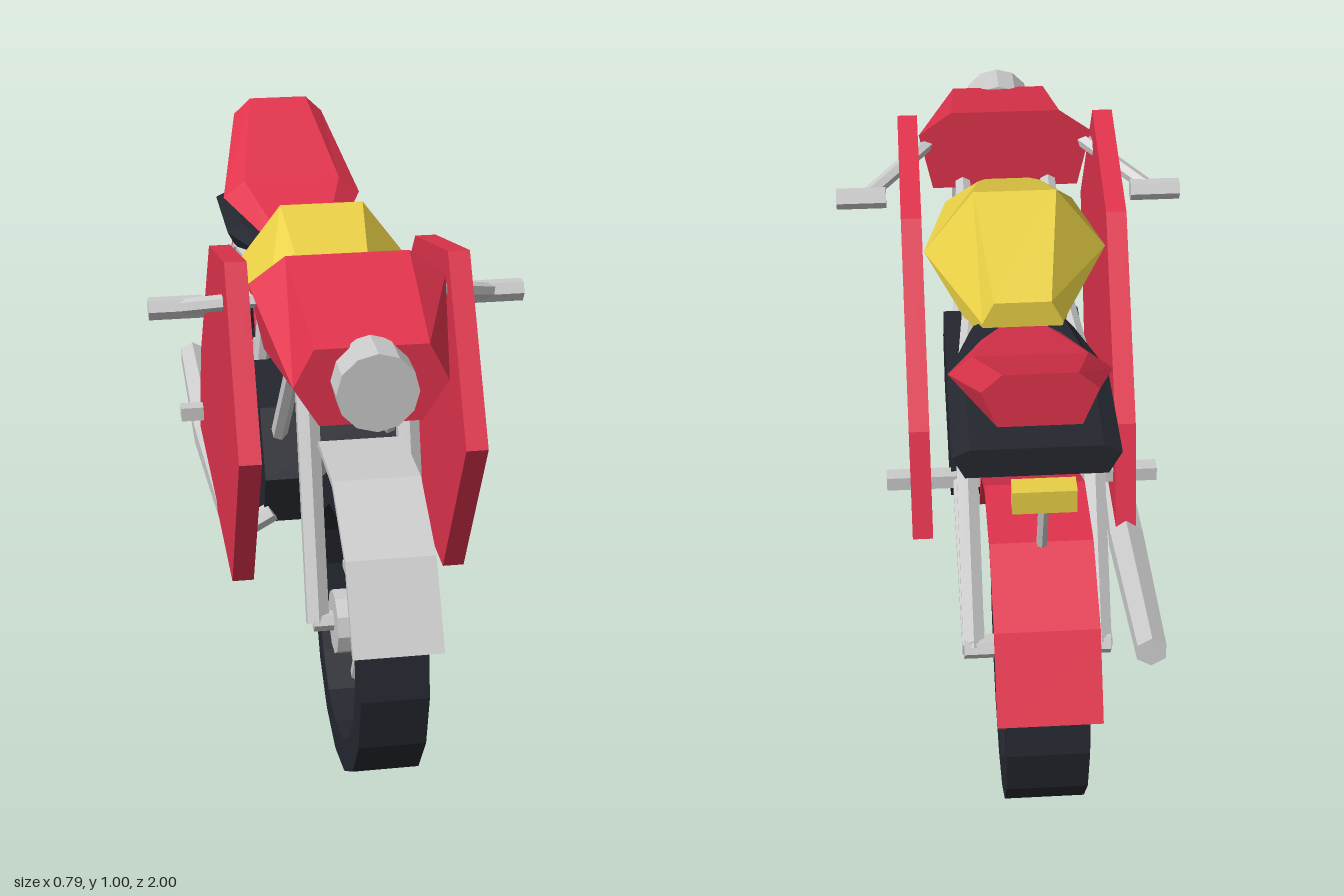
import * as THREE from 'three';

const paint = (color) => new THREE.MeshStandardMaterial({ color, flatShading: true });
const GREY = paint(0xcccccc), RED = paint(0xe0334c), YELLOW = paint(0xe8cf45), DARK = paint(0x24272f);

export function createModel() {
  const model = new THREE.Group();
  model.name = 'motorcycle';

  function add(name, geometry, material, parent = model) {
    const mesh = new THREE.Mesh(geometry, material);
    mesh.name = name;
    parent.add(mesh);
    return mesh;
  }

  // Side profile of [z, y] points, extruded across x and centred there
  function plate(points, width, hole) {
    const toV2 = (list) => list.map(([z, y]) => new THREE.Vector2(z, y));
    const shape = new THREE.Shape(toV2(points));
    if (hole) shape.holes.push(new THREE.Path(toV2(hole)));
    return new THREE.ExtrudeGeometry(shape, { depth: width, bevelEnabled: false })
      .rotateY(-Math.PI / 2).translate(width / 2, 0, 0);
  }

  // Points on an arc in the side plane
  function arc(r, from, to, steps, z = 0, y = 0) {
    return Array.from({ length: steps + 1 }, (_, i) => {
      const a = THREE.MathUtils.degToRad(from + (to - from) * i / steps);
      return [z + r * Math.cos(a), y + r * Math.sin(a)];
    });
  }

  // Straight bar between two points
  function bar(name, from, to, r0, r1 = r0, parent = model, sides = 6) {
    const a = new THREE.Vector3(...from), b = new THREE.Vector3(...to);
    const mesh = add(name, new THREE.CylinderGeometry(r1, r0, a.distanceTo(b), sides), GREY, parent);
    mesh.position.copy(a).add(b).multiplyScalar(0.5);
    mesh.quaternion.setFromUnitVectors(new THREE.Vector3(0, 1, 0), b.sub(a).normalize());
    return mesh;
  }

  // Body through mirrored sections, front to back: [z, [x, y] from top to bottom]
  function loft(sections) {
    const rings = sections.map(([z, half]) => [
      ...half.map(([x, y]) => [x, y, z]),
      ...half.slice().reverse().map(([x, y]) => [-x, y, z]),
    ]);
    const n = rings[0].length, last = rings.length - 1, index = [];
    for (let s = 0; s < last; s++) {
      for (let i = 0; i < n; i++) {
        const j = (i + 1) % n, a = s * n + i, b = s * n + j;
        index.push(a, b, b + n, a, b + n, a + n);
      }
    }
    for (let i = 1; i < n - 1; i++) {
      index.push(0, i + 1, i, last * n, last * n + i, last * n + i + 1);
    }
    const geometry = new THREE.BufferGeometry();
    geometry.setAttribute('position', new THREE.Float32BufferAttribute(rings.flat(2), 3));
    geometry.setIndex(index);
    const flat = geometry.toNonIndexed();
    flat.computeVertexNormals();
    return flat;
  }

  // Wheels: sixteen-sided tyre, hub and six spokes
  function wheel(name, z, width) {
    const group = new THREE.Group();
    group.name = name;
    group.position.set(0, 0.3, z);
    add('tyre', plate(arc(0.3, 0, 337.5, 15), width, arc(0.235, 0, 337.5, 15)), DARK, group);
    bar('hub', [-0.07, 0, 0], [0.07, 0, 0], 0.065, 0.065, group, 10);
    for (const [sz, sy] of arc(0.24, 0, 300, 5)) bar('spoke', [0, 0, 0], [0, sy, sz], 0.016, 0.016, group);
    model.add(group);
  }
  wheel('frontWheel', 0.675, 0.13);
  wheel('rearWheel', -0.67, 0.16);
  bar('frontAxle', [-0.11, 0.3, 0.67], [0.11, 0.3, 0.67], 0.02);
  bar('rearAxle', [-0.15, 0.31, -0.67], [0.15, 0.31, -0.67], 0.025);

  // Fenders
  const fender = (z, width) => plate(
    [...arc(0.36, 18, 162, 5, z, 0.3), ...arc(0.346, 162, 18, 5, z, 0.3)], width);
  add('frontFender', fender(0.66, 0.17), GREY);
  add('rearFender', fender(-0.66, 0.2), RED);

  // Engine
  add('engine', plate([[-0.04, 0.25], [0.1, 0.285], [0.25, 0.31], [0.29, 0.43], [0.2, 0.56],
    [-0.05, 0.565], [-0.17, 0.52], [-0.2, 0.4], [-0.15, 0.29]], 0.315), DARK);

  // Nose cowl and headlight
  add('noseCowl', loft([
    [0.685, [[0.11, 0.892], [0.15, 0.815], [0.1, 0.735]]],
    [0.395, [[0.125, 0.975], [0.2, 0.92], [0.17, 0.78]]],
  ]), RED);
  bar('headlight', [0, 0.827, 0.66], [0, 0.827, 0.755], 0.079, 0.079, model, 12);

  // Fuel tank
  add('fuelTank', loft([
    [0.315, [[0.05, 0.845], [0.07, 0.81], [0.06, 0.76], [0.05, 0.74]]],
    [0.26, [[0.07, 0.87], [0.145, 0.82], [0.11, 0.75], [0.06, 0.72]]],
    [0.045, [[0.09, 0.965], [0.2, 0.82], [0.14, 0.73], [0.07, 0.7]]],
    [-0.22, [[0.06, 0.85], [0.085, 0.8], [0.08, 0.73], [0.06, 0.7]]],
  ]), YELLOW);

  // Seat and raised tail
  add('seat', loft([
    [-0.1, [[0.06, 0.77], [0.07, 0.765], [0.06, 0.755]]],
    [-0.2, [[0.09, 0.79], [0.11, 0.77], [0.09, 0.735]]],
    [-0.36, [[0.13, 0.79], [0.165, 0.77], [0.14, 0.72]]],
    [-0.635, [[0.13, 0.787], [0.165, 0.77], [0.14, 0.72]]],
  ]), DARK);
  add('tail', loft([
    [-0.22, [[0.05, 0.79], [0.07, 0.78], [0.05, 0.765]]],
    [-0.44, [[0.115, 0.87], [0.165, 0.83], [0.11, 0.785]]],
    [-0.695, [[0.07, 1.003], [0.11, 0.965], [0.08, 0.885]]],
  ]), RED);

  // Tail light on its stem
  bar('tailLightStem', [0, 0.65, -0.755], [0, 0.785, -0.795], 0.011);
  add('tailLight', new THREE.BoxGeometry(0.12, 0.05, 0.042), YELLOW).position.set(0, 0.8, -0.797);

  // Paired parts
  const fairing = plate([[0.4, 0.97], [0.62, 0.63], [0.44, 0.275], [-0.3, 0.29], [-0.22, 0.525], [0.07, 0.89]], 0.045);
  for (const s of [-1, 1]) {
    const side = s > 0 ? 'left' : 'right';
    add(side + 'Fairing', fairing, RED).position.x = s * 0.225;
    bar(side + 'Fork', [s * 0.1, 0.295, 0.665], [s * 0.1, 0.92, 0.445], 0.025);
    bar(side + 'HandlebarArm', [s * 0.1, 0.925, 0.48], [s * 0.33, 0.83, 0.27], 0.017);
    bar(side + 'Grip', [s * 0.28, 0.83, 0.27], [s * 0.393, 0.83, 0.27], 0.024);
    bar(side + 'TopRail', [s * 0.1, 0.79, 0.42], [s * 0.1, 0.745, -0.05], 0.02);
    bar(side + 'SeatRail', [s * 0.1, 0.755, -0.05], [s * 0.13, 0.725, -0.37], 0.02);
    bar(side + 'RearStrut', [s * 0.13, 0.745, -0.36], [s * 0.13, 0.31, -0.67], 0.025);
    bar(side + 'SwingArm', [s * 0.13, 0.38, -0.15], [s * 0.13, 0.31, -0.68], 0.027);
    bar(side + 'DownTube', [s * 0.1, 0.78, 0.4], [s * 0.12, 0.5, 0.22], 0.018);
    bar(side + 'MidTube', [s * 0.1, 0.75, -0.1], [s * 0.12, 0.5, -0.12], 0.018);
  }

  // Foot pegs on one cross bar
  add('footPegs', new THREE.BoxGeometry(0.6, 0.033, 0.033), GREY).position.set(0, 0.38, -0.2);

  // Exhaust on the right side
  bar('exhaustHeader', [-0.14, 0.34, 0.26], [-0.225, 0.29, 0.26], 0.022);
  bar('exhaustPipe', [-0.225, 0.29, 0.28], [-0.225, 0.27, -0.31], 0.02, 0.042);
  bar('muffler', [-0.225, 0.27, -0.3], [-0.23, 0.315, -0.715], 0.042, 0.034);

  return model;
}
